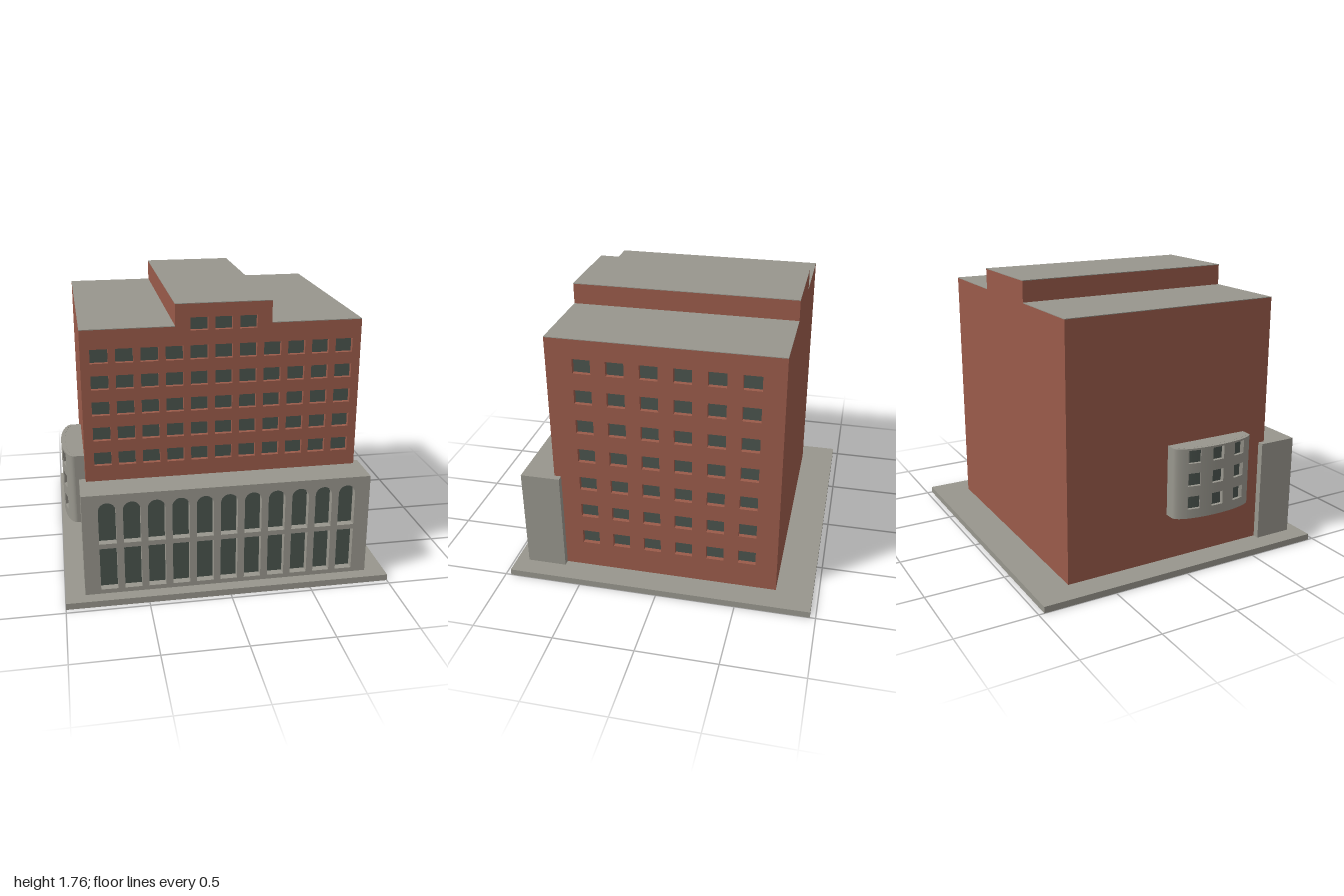
import * as THREE from 'three';
import { toCreasedNormals } from 'three/addons/utils/BufferGeometryUtils.js';

export function createModel() {
  const mat = (name, color) => Object.assign(new THREE.MeshStandardMaterial({ color }), { name });
  const brick = mat('brick', 0x9a5b4a);
  const stone = mat('stone', 0x98968d);
  const glass = mat('dark glass', 0x4a534d);
  const model = new THREE.Group();
  model.name = 'building';

  const add = (name, geometry, material, parent = model) => {
    const mesh = new THREE.Mesh(geometry, material);
    mesh.name = name;
    parent.add(mesh);
    return mesh;
  };
  const box = (name, x0, x1, y0, y1, z0, z1, material) =>
    add(name, new THREE.BoxGeometry(x1 - x0, y1 - y0, z1 - z0), material)
      .position.set((x0 + x1) / 2, (y0 + y1) / 2, (z0 + z1) / 2);
  const extrude = (shape, depth) => new THREE.ExtrudeGeometry(shape, { depth, bevelEnabled: false });
  const polygon = (points) => new THREE.Shape(points.map(([x, y]) => new THREE.Vector2(x, y)));

  // Window outline centred on x, from y0 to y1, with an optional round head
  const opening = (x, y0, y1, w, arched = false) => {
    const r = w / 2;
    const pts = [[x - r, y0], [x + r, y0]];
    if (arched) for (let i = 0; i <= 12; i++) {
      const a = Math.PI * i / 12;
      pts.push([x + r * Math.cos(a), y1 - r + r * Math.sin(a)]);
    }
    else pts.push([x + r, y1], [x - r, y1]);
    return pts;
  };

  // Pierced wall with glass set at its inner face
  const wall = (name, outline, openings, depth, material) => {
    const group = new THREE.Group();
    group.name = name;
    const shape = polygon(outline);
    shape.holes = openings.map(polygon);
    add(name + 'Surface', extrude(shape, depth), material, group);
    const panes = add(name + 'Windows', new THREE.ShapeGeometry(openings.map(polygon)), glass, group);
    panes.position.z = 0.002;
    model.add(group);
    return group;
  };

  // Ground slab
  box('baseSlab', -1, 1, 0, 0.04, -0.965, 0.965, stone);

  // Brick tower
  const L = -0.84, R = 0.836, back = -0.735, front = 0.678, recess = 0.03;
  const stepped = (right) => [[L, 0.04], [right, 0.04], [right, 1.626], [0.286, 1.626],
    [0.286, 1.758], [-0.288, 1.758], [-0.288, 1.626], [L, 1.626]];
  add('towerCore', extrude(polygon(stepped(R - recess)), front - recess - back), brick).position.z = back;

  const frontOpenings = [];
  for (let c = -5; c <= 5; c++) {
    for (let r = 0; r < 5; r++) {
      const y = 0.79 + r * 0.159;
      frontOpenings.push(opening(c * 0.1465, y, y + 0.085, 0.104));
    }
    if (Math.abs(c) < 2) frontOpenings.push(opening(c * 0.1465, 1.6, 1.677, 0.104));
  }
  wall('towerFront', stepped(R), frontOpenings, recess, brick).position.z = front - recess;

  const sideOpenings = [];
  for (let c = 0; c < 6; c++) for (let r = 0; r < 7; r++) {
    const y = 0.212 + r * 0.2;
    sideOpenings.push(opening(-0.46 + c * 0.201, y, y + 0.092, 0.11));
  }
  const side = wall('towerSide', [[recess - front, 0.04], [-back, 0.04], [-back, 1.626], [recess - front, 1.626]],
    sideOpenings, recess, brick);
  side.rotation.y = Math.PI / 2;
  side.position.x = R - recess;

  // Roof sheets
  box('roofRight', L, -0.288, 1.626, 1.63, back, front, stone);
  box('roofLeft', 0.286, R, 1.626, 1.63, back, front, stone);
  box('roofMiddle', -0.288, 0.286, 1.758, 1.762, back, front, stone);

  // Stone entrance block with arched windows above tall openings
  const depth = 0.05, face = 0.885;
  box('entranceCore', -0.88, 0.877, 0.04, 0.692, 0.635, face - depth, stone);
  const arcade = [];
  for (let c = -5; c <= 5; c++) {
    arcade.push(opening(c * 0.1465, 0.068, 0.342, 0.104));
    arcade.push(opening(c * 0.1465, 0.373, 0.64, 0.104, true));
  }
  wall('entranceFront', [[-0.88, 0.04], [0.877, 0.04], [0.877, 0.692], [-0.88, 0.692]],
    arcade, depth, stone).position.z = face - depth;

  // Curved bay on the right side
  const bayZ = 0.225, bayX = -0.9, bottom = 0.34, top = 0.79;
  const arc = (t0, t1, rx, rz) => Array.from({ length: 9 }, (_, i) => {
    const t = t0 + (t1 - t0) * i / 8;
    return [bayX - rx * Math.sin(t), -(bayZ + rz * Math.cos(t))];
  });
  const band = (name, t0, t1, y0, y1, outer, inner, material) => {
    const shape = polygon([...arc(t0, t1, ...outer), ...arc(t1, t0, ...inner)]);
    const geometry = extrude(shape, y1 - y0).rotateX(-Math.PI / 2).translate(0, y0, 0);
    add(name, toCreasedNormals(geometry, 0.5), material);
  };
  const outer = [0.075, 0.28], inner = [0.05, 0.255], pane = [0.053, 0.258];
  box('bayBack', bayX, L, bottom, top, bayZ - 0.28, bayZ + 0.28, stone);
  band('bayCore', 0, Math.PI, bottom, top, inner, [0, 0.255], stone);
  const rows = [[0.4, 0.483], [0.549, 0.632], [0.695, 0.778]];
  let t = 0;
  for (const z of [0.165, 0, -0.165]) {
    const t0 = Math.acos((z + 0.04) / 0.28), t1 = Math.acos((z - 0.04) / 0.28);
    band('bayPier', t, t0, bottom, top, outer, inner, stone);
    let y = bottom;
    for (const [y0, y1] of rows) {
      band('baySpandrel', t0, t1, y, y0, outer, inner, stone);
      band('bayWindow', t0, t1, y0, y1, pane, inner, glass);
      y = y1;
    }
    band('baySpandrel', t0, t1, y, top, outer, inner, stone);
    t = t1;
  }
  band('bayPier', t, Math.PI, bottom, top, outer, inner, stone);

  return model;
}
